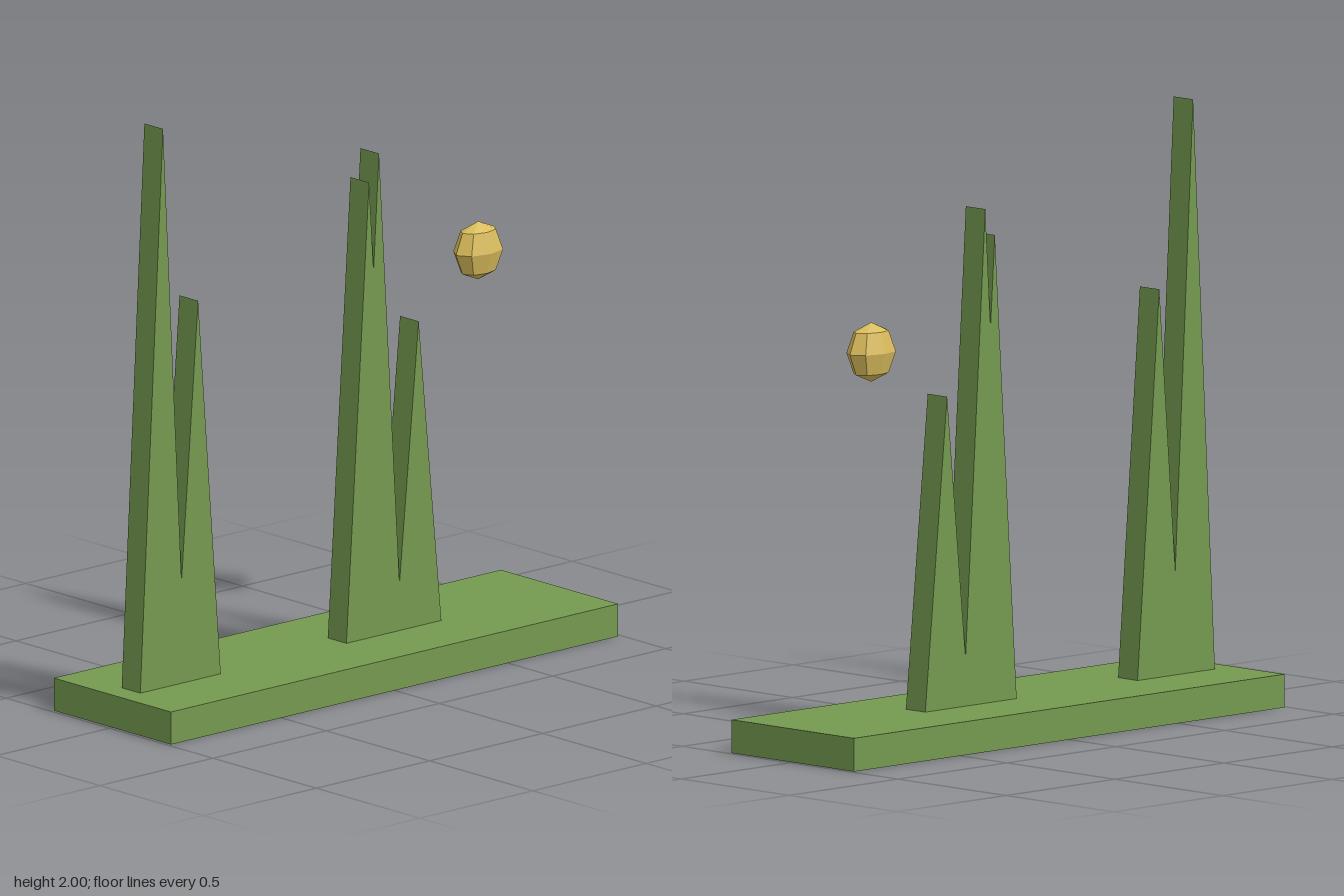
import * as THREE from 'three';

const BASE_TOP = 0.11;
const green = new THREE.MeshStandardMaterial({ color: 0x74994f, flatShading: true });
const gold = new THREE.MeshStandardMaterial({ color: 0xd9bc5c, flatShading: true });

// Flat triangular blade standing on the base
function makeSpike(x, tipY, halfWidth = 0.1, depth = 0.09) {
  const shape = new THREE.Shape();
  shape.moveTo(-halfWidth, BASE_TOP);
  shape.lineTo(halfWidth, BASE_TOP);
  shape.lineTo(0, tipY);
  shape.closePath();
  const geometry = new THREE.ExtrudeGeometry(shape, { depth, bevelEnabled: false });
  geometry.translate(0, 0, -depth / 2);
  const mesh = new THREE.Mesh(geometry, green);
  mesh.position.x = x;
  return mesh;
}

export function createModel() {
  const model = new THREE.Group();
  model.name = 'spikesOnBase';

  // Base slab
  const base = new THREE.Mesh(new THREE.BoxGeometry(1.975, BASE_TOP, 0.567), green);
  base.name = 'base';
  base.position.y = BASE_TOP / 2;
  model.add(base);

  // Two clusters of spikes: [x, tip height]
  const clusters = {
    rightSpikes: [[-0.805, 2.0], [-0.65, 1.39]],
    centreSpikes: [[0.105, 1.65], [0.149, 1.74], [0.324, 1.14]],
  };
  for (const [name, spikes] of Object.entries(clusters)) {
    const group = new THREE.Group();
    group.name = name;
    spikes.forEach(([x, tipY], i) => {
      const spike = makeSpike(x, tipY);
      spike.name = `spike${i + 1}`;
      group.add(spike);
    });
    model.add(group);
  }

  // Floating faceted ball, flattened front to back
  const ball = new THREE.Mesh(new THREE.SphereGeometry(0.098, 8, 4), gold);
  ball.name = 'floatingBall';
  ball.scale.z = 0.64;
  ball.position.set(0.628, 1.315, 0);
  model.add(ball);

  return model;
}
